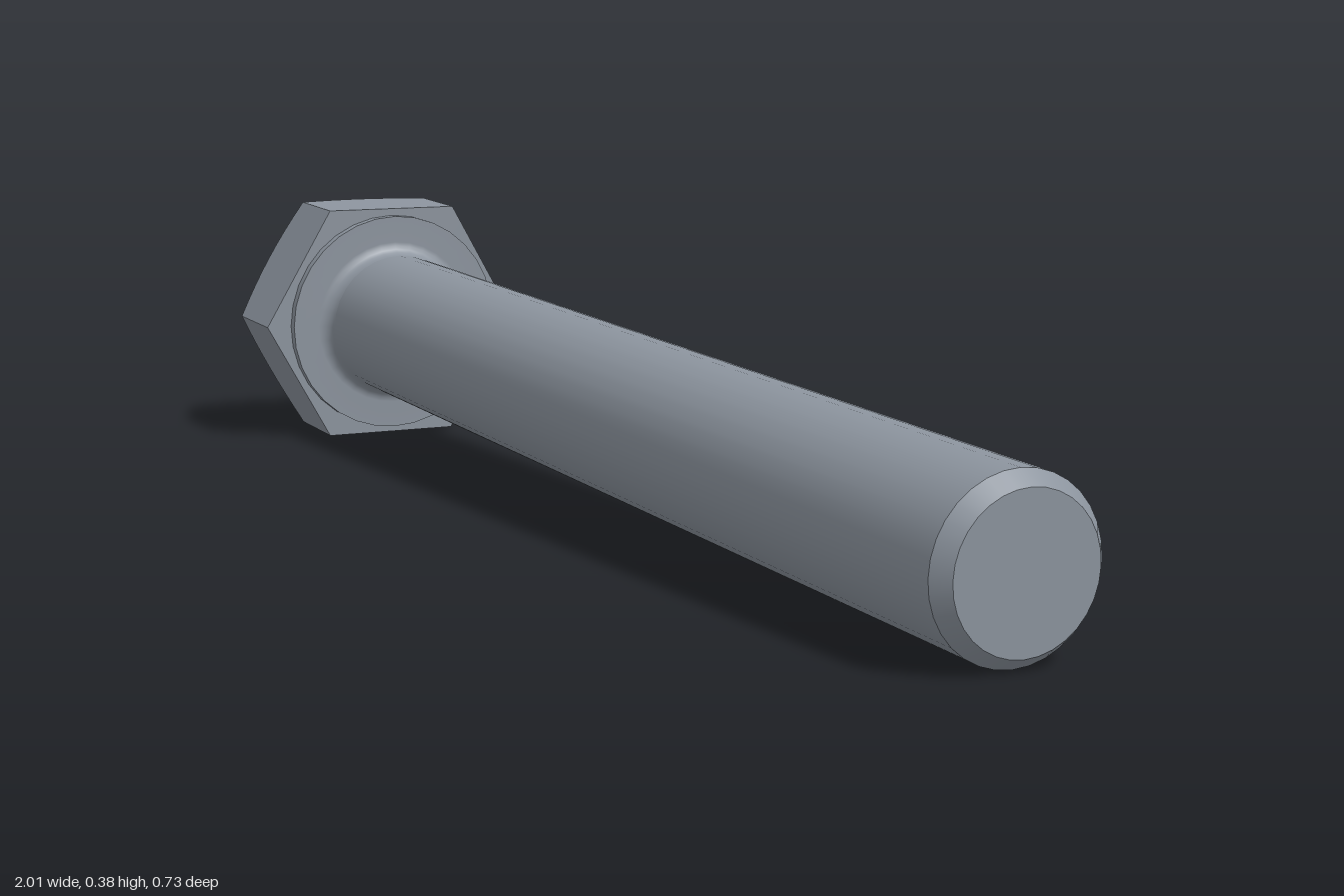
import * as THREE from 'three';

const APOTHEM = 0.185, HEAD = 0.154, CROWN = 0.17; // hex head half width, height, flat crown radius
const SHANK = 0.112, LENGTH = 1.842;

// Point on the hex outline at step i of n, with x along the bolt
function hexPoint(i, n) {
  const a = (i / n) * Math.PI * 2, sector = Math.PI / 3;
  const local = ((i % (n / 6)) / (n / 6)) * sector - sector / 2;
  const r = APOTHEM / Math.cos(local);
  const top = -(HEAD - (r - CROWN) * Math.tan(Math.PI / 6)); // conical chamfer
  return { a, top, y: r * Math.sin(a), z: r * Math.cos(a) };
}

function geometryFrom(positions, index) {
  const g = new THREE.BufferGeometry();
  g.setAttribute('position', new THREE.Float32BufferAttribute(positions, 3));
  if (index) g.setIndex(index);
  g.computeVertexNormals();
  return g;
}

// Six flat sides with arched upper edges, plus the flat underside
function headSides(n) {
  const pos = [];
  for (let i = 0; i < n; i++) {
    const p = hexPoint(i, n), q = hexPoint(i + 1, n);
    const b1 = [0, p.y, p.z], b2 = [0, q.y, q.z];
    const t1 = [p.top, p.y, p.z], t2 = [q.top, q.y, q.z];
    pos.push(...t1, ...b1, ...b2, ...t1, ...b2, ...t2);
    pos.push(0, 0, 0, ...b2, ...b1);
  }
  return geometryFrom(pos);
}

// Chamfered crown, smooth from the centre to the hex outline
function headCrown(n) {
  const pos = [-HEAD, 0, 0], index = [];
  for (let i = 0; i < n; i++) {
    const p = hexPoint(i, n), j = (i + 1) % n;
    pos.push(-HEAD, CROWN * Math.sin(p.a), CROWN * Math.cos(p.a), p.top, p.y, p.z);
    const a = 1 + i * 2, b = 1 + j * 2;
    index.push(0, a, b, a, a + 1, b + 1, a, b + 1, b);
  }
  return geometryFrom(pos, index);
}

// Turned part; profile pairs are [radius, distance along the bolt]
function turned(profile) {
  const points = profile.map(([r, x]) => new THREE.Vector2(r, x));
  return new THREE.LatheGeometry(points, 32).rotateZ(-Math.PI / 2);
}

export function createModel() {
  const steel = new THREE.MeshStandardMaterial({ color: 0x8c949e });
  steel.name = 'steel';
  const bolt = new THREE.Group();
  bolt.name = 'bolt';
  const add = (name, geometry) => {
    const mesh = new THREE.Mesh(geometry, steel);
    mesh.name = name;
    bolt.add(mesh);
  };

  add('headSides', headSides(48));
  add('headCrown', headCrown(48));

  // Washer face under the head, blending into the shank
  add('washerRim', turned([[0.174, 0], [0.174, 0.015]]));
  const fillet = [[0.174, 0.015]];
  for (let i = 0; i <= 5; i++) {
    const t = (i / 5) * Math.PI / 2;
    fillet.push([SHANK + 0.02 * (1 - Math.sin(t)), 0.015 + 0.02 * (1 - Math.cos(t))]);
  }
  add('washerFillet', turned(fillet));

  // Shank with a chamfered tip
  add('shank', turned([[SHANK, 0.035], [SHANK, LENGTH - 0.022]]));
  add('tipChamfer', turned([[SHANK, LENGTH - 0.022], [0.095, LENGTH]]));
  add('tipFace', turned([[0.095, LENGTH], [0, LENGTH]]));

  // Lay the bolt down, resting on a head flat and the tip
  const axis = new THREE.Vector3(1.8, -0.074, 0.386).normalize();
  const side = new THREE.Vector3().crossVectors(axis, new THREE.Vector3(0, 1, 0)).normalize();
  const up = new THREE.Vector3().crossVectors(side, axis);
  bolt.quaternion.setFromRotationMatrix(new THREE.Matrix4().makeBasis(axis, up, side));
  bolt.position.set(-0.82, 0.186, -0.13);

  const model = new THREE.Group();
  model.name = 'hexBolt';
  model.add(bolt);
  return model;
}
